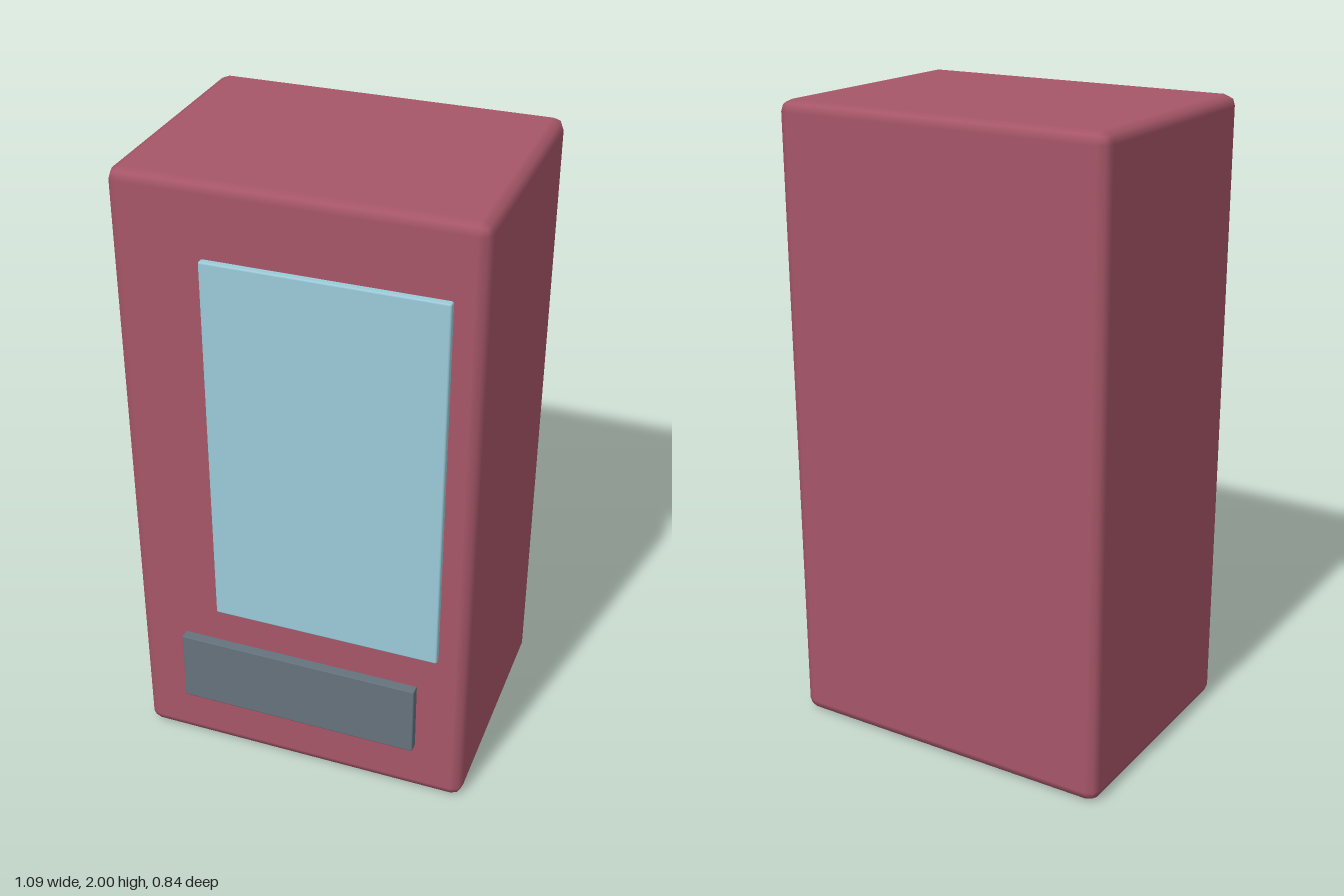
import * as THREE from 'three';
import { RoundedBoxGeometry } from 'three/addons/geometries/RoundedBoxGeometry.js';

function material(name, color) {
  const m = new THREE.MeshStandardMaterial({ color });
  m.name = name;
  return m;
}

// Softened box given by its limits on each axis
function block(name, mat, [x0, x1], [y0, y1], [z0, z1], radius) {
  const geometry = new RoundedBoxGeometry(x1 - x0, y1 - y0, z1 - z0, 1, radius);
  const mesh = new THREE.Mesh(geometry, mat);
  mesh.name = name;
  mesh.position.set((x0 + x1) / 2, (y0 + y1) / 2, (z0 + z1) / 2);
  return mesh;
}

export function createModel() {
  const red = material('dusty red', 0xa65668);
  const glass = material('pale blue glass', 0x9ccbd9);
  const grey = material('slate grey', 0x65727d);

  const group = new THREE.Group();
  group.name = 'vendingMachine';
  group.add(
    // Cabinet with softened edges
    block('cabinet', red, [-0.545, 0.545], [0, 2], [-0.422, 0.392], 0.035),
    // Display window, offset to one side
    block('displayWindow', glass, [-0.268, 0.455], [0.555, 1.775], [0.37, 0.412], 0.006),
    // Collection tray flap
    block('collectionTray', grey, [-0.39, 0.39], [0.185, 0.43], [0.37, 0.422], 0.004),
  );
  return group;
}
